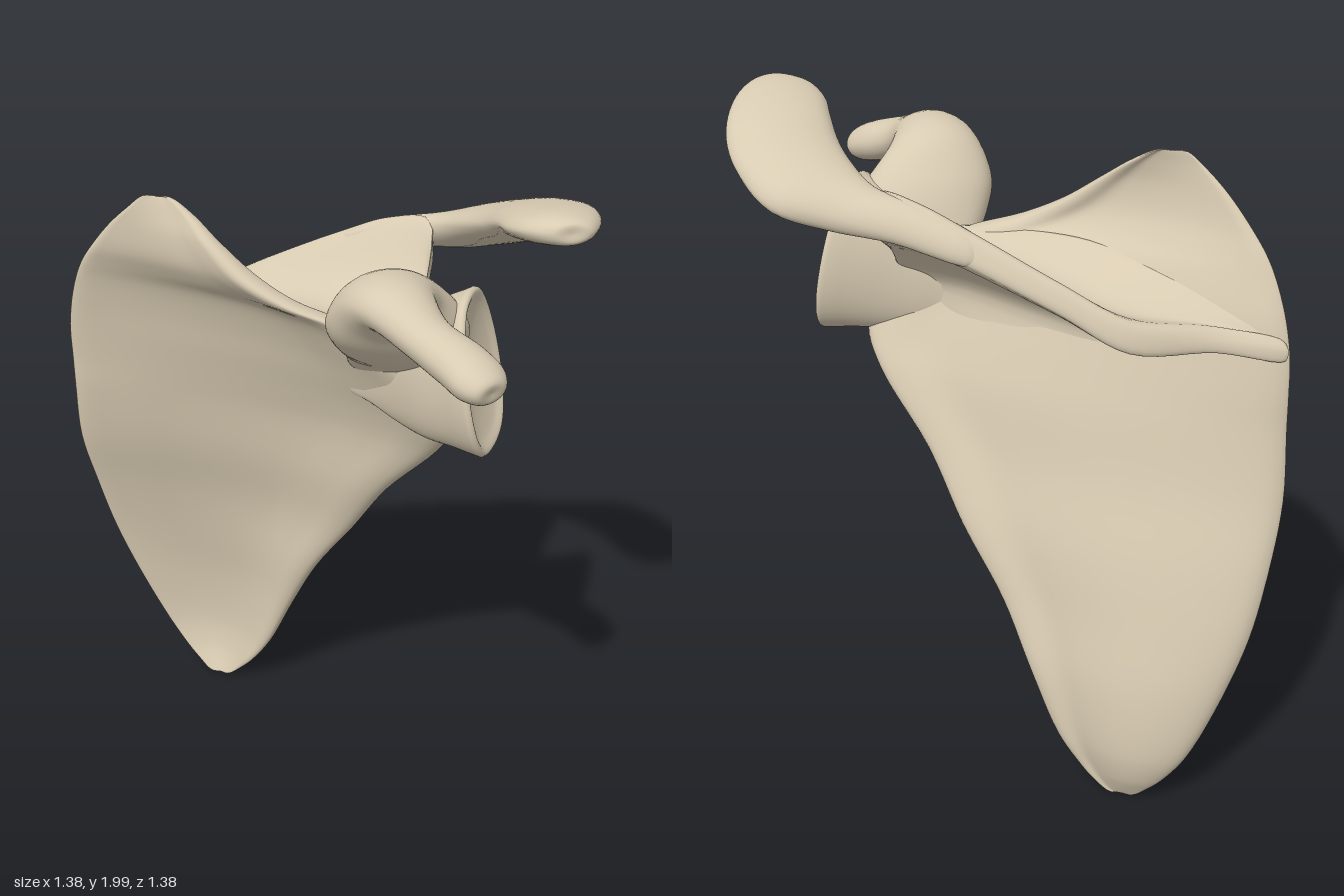
import * as THREE from 'three';

const V = (x, y, z) => new THREE.Vector3(x, y, z);
const bone = new THREE.MeshStandardMaterial({ color: 0xd8cbb2 });

// Smooth closed skin through a series of rings; both ends close on their centre.
function loft(name, rings, along = 5, around = 48) {
  const pole = (r) => {
    const c = r.reduce((a, p) => a.add(p), V(0, 0, 0)).divideScalar(r.length);
    return r.map(() => c);
  };
  const all = [pole(rings[0]), ...rings, pole(rings[rings.length - 1])];
  const columns = all[0].map((_, i) => new THREE.CatmullRomCurve3(all.map((r) => r[i])));
  const rows = (all.length - 1) * along;
  const pos = [], idx = [];
  for (let j = 0; j <= rows; j++) {
    const loop = new THREE.CatmullRomCurve3(columns.map((c) => c.getPoint(j / rows)), true);
    for (let i = 0; i < around; i++) pos.push(...loop.getPoint(i / around).toArray());
  }
  for (let j = 0; j < rows; j++) {
    for (let i = 0; i < around; i++) {
      const a = j * around + i, b = j * around + (i + 1) % around;
      idx.push(a, b, a + around, b, b + around, a + around);
    }
  }
  // Turn the faces outward
  const P = (k) => V().fromArray(pos, k * 3);
  let volume = 0;
  for (let k = 0; k < idx.length; k += 3) volume += P(idx[k]).dot(P(idx[k + 1]).cross(P(idx[k + 2])));
  if (volume < 0) idx.reverse();
  const g = new THREE.BufferGeometry();
  g.setAttribute('position', new THREE.Float32BufferAttribute(pos, 3));
  g.setIndex(idx);
  g.computeVertexNormals();
  const mesh = new THREE.Mesh(g, bone);
  mesh.name = name;
  return mesh;
}

// Oval rings from [inner edge, outer edge, half thickness], square to the path
function ovalRings(sections, n = 12) {
  const mid = sections.map(([a, b]) => V(...a).lerp(V(...b), 0.5));
  return sections.map(([a, b, t], k) => {
    const tangent = mid[Math.min(k + 1, mid.length - 1)].clone().sub(mid[Math.max(k - 1, 0)]);
    const half = V(...b).sub(V(...a)).multiplyScalar(0.5);
    const thick = tangent.cross(half).normalize().multiplyScalar(t);
    return Array.from({ length: n }, (_, i) => {
      const q = (i / n) * Math.PI * 2;
      return mid[k].clone().addScaledVector(half, Math.cos(q)).addScaledVector(thick, Math.sin(q));
    });
  });
}

// Blade rows: y, inner border x z, outer border x z, backward bow
const bladeRows = [
  [0.005, -0.31, -0.575, -0.25, -0.54, 0],
  [0.05, -0.35, -0.605, -0.205, -0.51, 0.02],
  [0.1, -0.385, -0.63, -0.17, -0.48, 0.04],
  [0.2, -0.44, -0.66, -0.115, -0.44, 0.06],
  [0.4, -0.525, -0.673, -0.045, -0.375, 0.073],
  [0.6, -0.595, -0.67, 0.02, -0.285, 0.072],
  [0.8, -0.645, -0.645, 0.115, -0.18, 0.068],
  [1.0, -0.685, -0.605, 0.19, -0.06, 0.065],
  [1.2, -0.69, -0.57, 0.3, 0.085, 0.065],
  [1.3, -0.69, -0.56, 0.32, 0.15, 0.06],
  [1.4, -0.69, -0.545, 0.28, 0.17, 0.055],
  [1.5, -0.68, -0.52, 0.2, 0.15, 0.05],
  [1.6, -0.66, -0.48, 0.06, 0.08, 0.035],
  [1.66, -0.64, -0.45, -0.1, 0.005, 0.02],
  [1.72, -0.61, -0.41, -0.2, -0.06, 0.005],
  [1.8, -0.56, -0.355, -0.285, -0.135, 0],
  [1.86, -0.51, -0.31, -0.34, -0.2, 0],
  [1.9, -0.465, -0.285, -0.395, -0.25, 0],
];

// Point on a blade row: s runs across it, off is the distance behind the mid surface
function onRow([y, mx, mz, lx, lz, bow], s, off) {
  const back = V(lz - mz, 0, mx - lx).normalize();
  const curve = bow * Math.sin(Math.PI * Math.min(s, 1) ** 0.8);
  return V(mx, y, mz).lerp(V(lx, y, lz), s).addScaledVector(back, curve + off);
}

// Point on the back of the blade at a given x and y
function onBlade(x, y) {
  const k = bladeRows.findIndex((r) => r[0] > y);
  const a = bladeRows[k - 1], b = bladeRows[k], f = (y - a[0]) / (b[0] - a[0]);
  const row = a.map((v, i) => v + (b[i] - v) * f);
  return onRow(row, (x - row[1]) / (row[3] - row[1]), 0.004);
}

// Thin triangular plate, hollow in front, with a thick outer border
function blade() {
  // position across, front thickness, back thickness
  const across = [
    [0.03, 0.016, 0.016], [0.12, 0.018, 0.018], [0.3, 0.014, 0.014], [0.5, 0.014, 0.014],
    [0.68, 0.018, 0.012], [0.82, 0.034, 0.014], [0.92, 0.044, 0.038], [0.98, 0.03, 0.036],
  ];
  const rings = bladeRows.map((row) => {
    const [y, mx, mz, lx, lz] = row;
    const scale = Math.min(1, Math.hypot(lx - mx, lz - mz) / 0.5) * (y > 1.5 ? 0.75 : 1);
    return [onRow(row, 0, 0), ...across.map(([s, f]) => onRow(row, s, -f * scale)), onRow(row, 1, 0),
      ...across.map(([s, , b]) => onRow(row, s, b * scale)).reverse()];
  });
  return loft('blade', rings, 5, 72);
}

// Ridge standing off the back of the blade, flaring into it
function spine() {
  // root x y, spread above, spread below, upper lip, lower lip, web half thickness, web sag
  const stations = [
    [-0.665, 1.42, 0.05, 0.07, [-0.67, 1.45, -0.54], [-0.672, 1.4, -0.555], 0.02, 0],
    [-0.5, 1.46, 0.1, 0.15, [-0.5, 1.49, -0.5], [-0.49, 1.43, -0.525], 0.03, 0],
    [-0.29, 1.5, 0.13, 0.2, [-0.26, 1.535, -0.51], [-0.25, 1.455, -0.53], 0.025, 0],
    [-0.12, 1.52, 0.11, 0.2, [-0.09, 1.625, -0.435], [-0.08, 1.55, -0.46], 0.022, 0.01],
    [0.05, 1.53, 0.08, 0.17, [0.11, 1.735, -0.32], [0.13, 1.655, -0.35], 0.022, 0.02],
    [0.15, 1.53, 0.06, 0.13, [0.23, 1.795, -0.24], [0.25, 1.705, -0.275], 0.025, 0.035],
    [0.2, 1.53, 0.04, 0.07, [0.32, 1.81, -0.15], [0.34, 1.715, -0.2], 0.02, 0.05],
  ];
  const rings = stations.map(([x, y, above, below, u, l, t, sag]) => {
    const B = onBlade(x, y), hi = onBlade(x, y + above), lo = onBlade(x, y - below);
    const U = V(...u), L = V(...l), C = U.clone().lerp(L, 0.5);
    const out = C.clone().sub(B).normalize();
    const web = (f, dy) => B.clone().lerp(C, f).add(V(0, dy - sag, 0));
    return [hi, web(0.2, t + above * 0.3), web(0.6, t), U, C.clone().addScaledVector(out, 0.012),
      L, web(0.6, -t), web(0.2, -t - below * 0.32), lo, B];
  });
  return loft('spineRidge', rings, 6);
}

// Flat hooked end of the ridge, reaching over the socket
const shoulderHook = () => loft('shoulderHook', ovalRings([
  [[0.1, 1.72, -0.31], [0.12, 1.66, -0.35], 0.02],
  [[0.24, 1.79, -0.22], [0.31, 1.705, -0.26], 0.035],
  [[0.33, 1.81, -0.13], [0.47, 1.735, -0.195], 0.05],
  [[0.375, 1.845, -0.02], [0.61, 1.78, -0.14], 0.058],
  [[0.395, 1.88, 0.08], [0.68, 1.85, 0.0], 0.058],
  [[0.4, 1.92, 0.18], [0.69, 1.9, 0.12], 0.052],
  [[0.4, 1.94, 0.27], [0.665, 1.94, 0.24], 0.047],
  [[0.425, 1.955, 0.34], [0.625, 1.955, 0.34], 0.042],
  [[0.48, 1.96, 0.39], [0.58, 1.96, 0.395], 0.026],
]));

// Curved beak growing forward from the top of the neck
const beak = () => loft('beak', ovalRings([
  [[0.06, 1.47, 0.03], [0.28, 1.47, 0.12], 0.02],
  [[0.02, 1.55, 0.08], [0.31, 1.54, 0.16], 0.06],
  [[-0.03, 1.62, 0.14], [0.34, 1.61, 0.19], 0.09],
  [[-0.06, 1.69, 0.2], [0.32, 1.68, 0.225], 0.1],
  [[-0.045, 1.765, 0.28], [0.235, 1.765, 0.28], 0.092],
  [[-0.01, 1.795, 0.38], [0.195, 1.785, 0.36], 0.067],
  [[0.065, 1.765, 0.5], [0.205, 1.745, 0.45], 0.058],
  [[0.13, 1.725, 0.6], [0.27, 1.71, 0.535], 0.06],
  [[0.165, 1.7, 0.665], [0.3, 1.69, 0.6], 0.052],
  [[0.205, 1.69, 0.69], [0.285, 1.685, 0.655], 0.03],
]));

// Pear-shaped shallow dish on a neck that thins out into the blade
function socket() {
  const centre = V(0.375, 1.515, 0.222);
  const n = V(0.83, 0.19, 0.53).normalize();
  const side = V(-0.54, 0, 0.84).normalize();
  const up = n.clone().cross(side).normalize();
  if (up.y < 0) up.negate();
  // depth, half width, half height, shift up, shift back
  const steps = [
    [-0.42, 0.01, 0.08, 0.02, 0.035], [-0.35, 0.02, 0.11, 0.01, 0.02], [-0.27, 0.05, 0.15, 0, 0.01],
    [-0.18, 0.09, 0.19, 0, 0], [-0.09, 0.13, 0.212, 0, 0], [-0.03, 0.158, 0.228, 0, 0],
    [-0.006, 0.164, 0.234, 0, 0], [0.004, 0.154, 0.224, 0, 0], [-0.012, 0.13, 0.185, 0, 0],
    [-0.03, 0.07, 0.1, 0, 0], [-0.034, 0.02, 0.03, 0, 0],
  ];
  const rings = steps.map(([d, w, h, rise, back]) => Array.from({ length: 16 }, (_, i) => {
    const q = (i / 16) * Math.PI * 2, s = Math.sin(q), c = Math.cos(q);
    const wide = Math.sign(c) * Math.abs(c) ** 0.7 * (1 - 0.14 * s);
    return centre.clone().addScaledVector(n, d)
      .addScaledVector(side, wide * w - back).addScaledVector(up, s * h + rise);
  }));
  return loft('socketAndNeck', rings, 5);
}

export function createModel() {
  const model = new THREE.Group();
  model.name = 'shoulderBlade';
  model.add(blade(), spine(), shoulderHook(), beak(), socket());
  return model;
}
